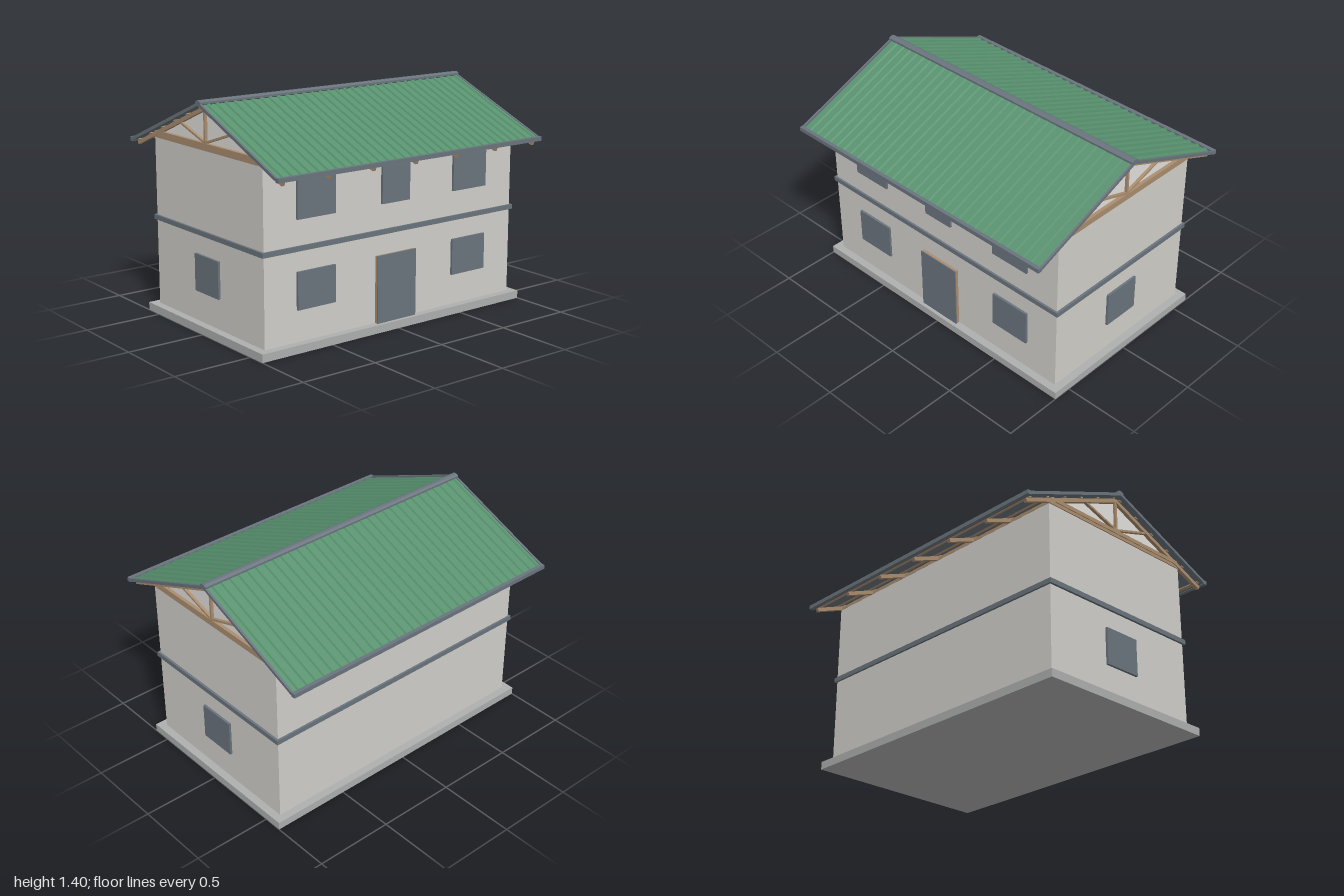
import * as THREE from 'three';

const mat = (name, color, side = THREE.FrontSide) => {
  const m = new THREE.MeshStandardMaterial({ color, side });
  m.name = name;
  return m;
};

export function createModel() {
  const wall = mat('plaster', 0xd2d0cb);
  const gableMat = mat('gable panel', 0xe4e2de);
  const concrete = mat('concrete', 0xaeb0af);
  const slate = mat('slate trim', 0x6a747d);
  const wood = mat('timber', 0xab8e70);
  const green = mat('roof green', 0x58926f);

  const house = new THREE.Group();
  house.name = 'house';

  const add = (parent, name, geometry, material) => {
    const mesh = new THREE.Mesh(geometry, material);
    mesh.name = name;
    parent.add(mesh);
    return mesh;
  };
  // Box given by its limits on each axis
  const box = (parent, name, material, x0, x1, y0, y1, z0, z1) => {
    const mesh = add(parent, name, new THREE.BoxGeometry(x1 - x0, y1 - y0, z1 - z0), material);
    mesh.position.set((x0 + x1) / 2, (y0 + y1) / 2, (z0 + z1) / 2);
    return mesh;
  };

  // Body
  box(house, 'foundation', concrete, -1, 1, 0, 0.05, -0.62, 0.62);
  box(house, 'walls', wall, -0.95, 0.95, 0.05, 1.11, -0.57, 0.57);
  box(house, 'floorBand', slate, -0.965, 0.965, 0.59, 0.62, -0.583, 0.583);

  // Front windows and door
  for (const [x0, x1] of [[-0.725, -0.455], [0.455, 0.725]]) {
    box(house, 'lowerWindow', slate, x0, x1, 0.243, 0.47, 0.57, 0.585);
    box(house, 'upperWindow', slate, x0, x1, 0.775, 1.0, 0.57, 0.585);
  }
  box(house, 'middleWindow', slate, -0.107, 0.105, 0.775, 1.0, 0.57, 0.585);
  box(house, 'doorFrame', wood, -0.147, 0.147, 0.05, 0.465, 0.57, 0.59);
  box(house, 'doorPanel', slate, -0.148, 0.148, 0.05, 0.468, 0.59, 0.597);

  // Side windows
  for (const s of [-1, 1]) {
    box(house, 'sideWindow', slate, s * 0.9575 - 0.0075, s * 0.9575 + 0.0075, 0.24, 0.47, -0.125, 0.125);
  }

  // Roof slope: y = ridgeY - slope * |z| along the rafter tops
  const ridgeY = 1.367, slope = 0.41;
  const angle = Math.atan(slope), length = 0.775 / Math.cos(angle);

  // Timber bar between two points of the z-y plane
  const bar = (parent, name, z0, y0, z1, y1, thick, width) => {
    const mesh = add(parent, name,
      new THREE.BoxGeometry(width, thick, Math.hypot(z1 - z0, y1 - y0)), wood);
    mesh.position.set(0, (y0 + y1) / 2, (z0 + z1) / 2);
    mesh.rotation.x = -Math.atan2(y1 - y0, z1 - z0);
  };

  // Seven trusses carry the roof
  for (let i = 0; i < 7; i++) {
    const truss = new THREE.Group();
    truss.name = 'truss';
    truss.position.x = -0.95 + (i * 1.9) / 6;
    house.add(truss);
    bar(truss, 'bottomChord', -0.56, 1.138, 0.56, 1.138, 0.025, 0.022);
    bar(truss, 'kingPost', 0, 1.145, 0, 1.35, 0.014, 0.018);
    for (const s of [-1, 1]) {
      bar(truss, 'rafter', 0, ridgeY - 0.013, s * 0.762, ridgeY - 0.013 - slope * 0.762, 0.024, 0.022);
      bar(truss, 'strut', 0, 1.152, s * 0.275, 1.24, 0.013, 0.018);
    }
  }

  // Wall plates under the trusses
  for (const s of [-1, 1]) {
    box(house, 'longPlate', wood, -0.955, 0.955, 1.105, 1.126, s * 0.555 - 0.016, s * 0.555 + 0.016);
    box(house, 'endPlate', wood, s * 0.94 - 0.016, s * 0.94 + 0.016, 1.105, 1.126, -0.538, 0.538);
  }

  // Recessed gable panels
  const tri = new THREE.Shape([
    new THREE.Vector2(-0.57, 1.11), new THREE.Vector2(0.57, 1.11), new THREE.Vector2(0, ridgeY - 0.01),
  ]);
  for (const s of [-1, 1]) {
    const panel = add(house, 'gablePanel', new THREE.ExtrudeGeometry(tri, { depth: 0.01, bevelEnabled: false }), gableMat);
    panel.rotation.y = Math.PI / 2;
    panel.position.x = s * 0.93 - 0.005;
  }

  // Ribbed sheet profile
  const ribs = 32, pitch = 1.976 / ribs;
  const profile = [new THREE.Vector2(-0.988, 0.01)];
  for (let i = 0; i < ribs; i++) {
    const x = -0.988 + i * pitch;
    for (const [t, y] of [[0, 0.014], [0.55, 0.014], [0.65, 0.024], [0.9, 0.024], [1, 0.014]]) {
      profile.push(new THREE.Vector2(x + t * pitch * 0.999, y));
    }
  }
  profile.push(new THREE.Vector2(0.988, 0.01));
  const sheetGeometry = new THREE.ExtrudeGeometry(new THREE.Shape(profile), { depth: length, bevelEnabled: false });

  // Two mirrored roof slopes
  for (const turn of [0, Math.PI]) {
    const side = new THREE.Group();
    side.name = 'roofSide';
    side.rotation.y = turn;
    house.add(side);

    const plane = new THREE.Group();
    plane.name = 'roofSlope';
    plane.position.y = ridgeY;
    plane.rotation.x = angle;
    side.add(plane);
    add(plane, 'ribbedSheet', sheetGeometry, green);
    box(plane, 'underlay', slate, -0.99, 0.99, 0.006, 0.01, 0, length);
    for (let i = 0; i < 6; i++) {
      const z = 0.03 + (i * (length - 0.07)) / 5;
      box(plane, 'batten', wood, -0.97, 0.97, -0.001, 0.007, z - 0.01, z + 0.01);
    }
    for (const s of [-1, 1]) {
      box(plane, 'bargeBoard', slate, s * 0.993 - 0.007, s * 0.993 + 0.007, 0.006, 0.025, 0, length);
    }
    box(side, 'eaveFascia', slate, -1, 1, 1.056, 1.082, 0.763, 0.788);
  }

  // Faceted ridge cap
  const cap = add(house, 'ridgeCap', new THREE.CylinderGeometry(1, 1, 2, 8).toNonIndexed(), slate);
  cap.geometry.rotateY(Math.PI / 8);
  cap.geometry.rotateZ(Math.PI / 2);
  cap.geometry.scale(1, 0.017, 0.027);
  cap.geometry.computeVertexNormals();
  cap.position.y = 1.388;

  return house;
}
